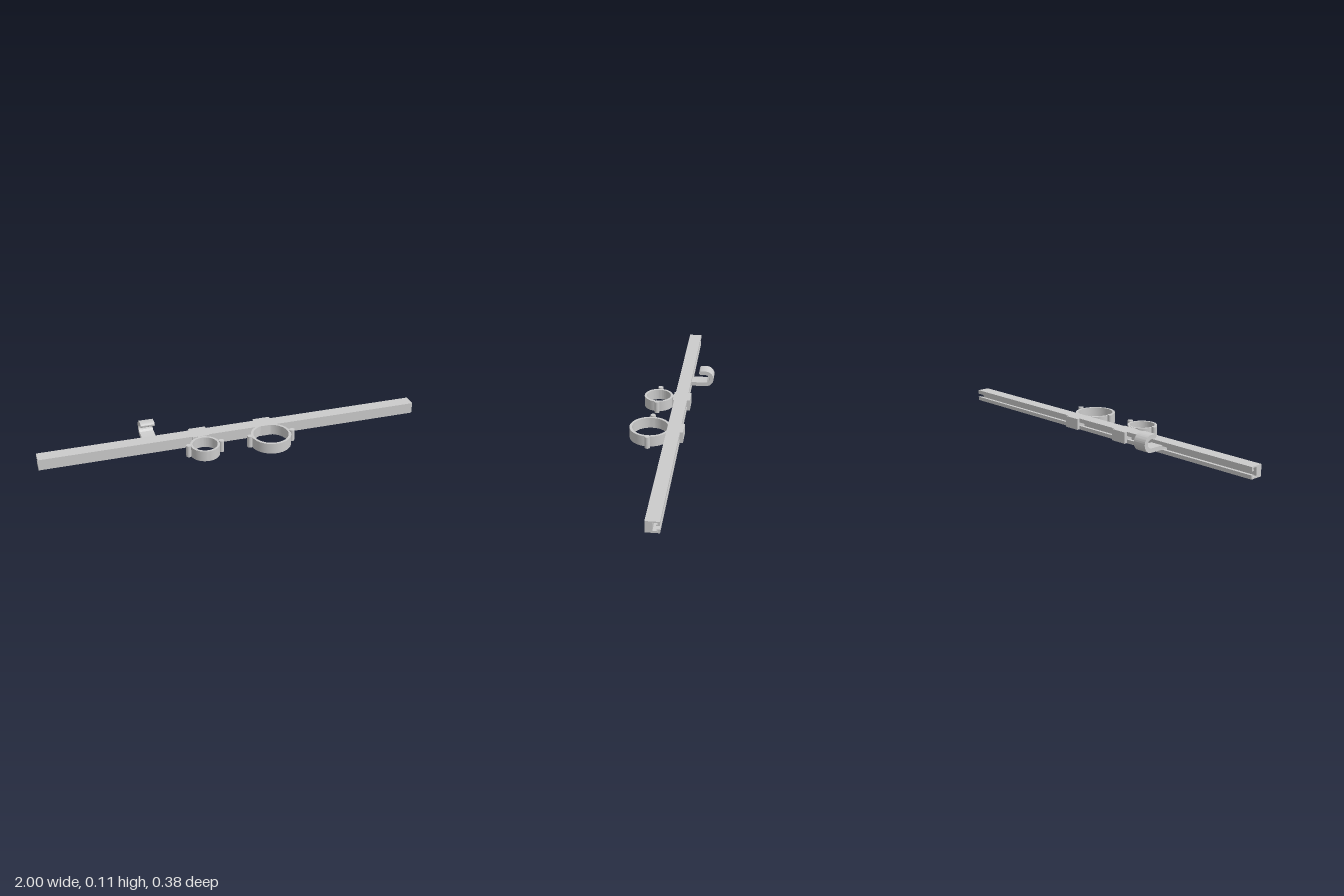
import * as THREE from 'three';
import { toCreasedNormals } from 'three/addons/utils/BufferGeometryUtils.js';

const material = new THREE.MeshStandardMaterial({ color: 0xcccccc });

function add(parent, name, geometry, x = 0, y = 0, z = 0) {
  const mesh = new THREE.Mesh(geometry, material);
  mesh.name = name;
  mesh.position.set(x, y, z);
  parent.add(mesh);
  return mesh;
}

function extrude(shape, depth) {
  return new THREE.ExtrudeGeometry(shape, { depth, bevelEnabled: false, curveSegments: 32 });
}

// Profile drawn as (distance to the back, height), swept along x
function sweepX(shape, x0, x1) {
  return toCreasedNormals(extrude(shape, x1 - x0).rotateY(Math.PI / 2).translate(x0, 0, 0), 0.5);
}

// Plan outline raised from y0 to y1
function raise(shape, y0, y1) {
  return toCreasedNormals(extrude(shape, y1 - y0).rotateX(-Math.PI / 2).translate(0, y0, 0), 0.5);
}

const polygon = (points) => new THREE.Shape(points.map(([a, b]) => new THREE.Vector2(a, b)));

// T-shaped foot that slides in the rail's slot
function slotFoot(parent, x, width) {
  const foot = polygon([
    [0.034, 0.01], [0.051, 0.01], [0.051, 0.019], [0.068, 0.019],
    [0.068, 0.037], [0.051, 0.037], [0.051, 0.052], [0.034, 0.052],
  ]);
  add(parent, 'slotFoot', sweepX(foot, x - width / 2, x + width / 2));
}

// Ring holder with two side lugs and a clip on the back of the rail
function makeHolder(x, radius, wall) {
  const holder = new THREE.Group();
  holder.name = 'ringHolder';
  const z = 0.086;

  const ring = new THREE.Shape().absarc(0, 0, radius, 0, Math.PI * 2);
  ring.holes.push(new THREE.Path().absarc(0, 0, radius - wall, 0, Math.PI * 2, true));
  add(holder, 'ring', raise(ring, 0.002, 0.058), x, 0, z);

  for (const side of [-1, 1]) {
    const lug = new THREE.CylinderGeometry(0.0135, 0.0135, 0.062, 24);
    add(holder, 'lug', lug, x + side * (radius + 0.01), 0.033, z);
  }

  // Pad between ring and rail
  const gap = z - radius + wall / 2;
  if (gap > 0.01) add(holder, 'pad', new THREE.BoxGeometry(0.09, 0.056, 0.007), x, 0.03, 0.0035);
  if (gap > 0.01) add(holder, 'neck', new THREE.BoxGeometry(0.04, 0.055, 0.012), x, 0.0298, 0.01);

  add(holder, 'backClip', new THREE.BoxGeometry(0.09, 0.058, 0.016), x, 0.029, -0.075);
  slotFoot(holder, x, 0.09);
  return holder;
}

export function createModel() {
  const model = new THREE.Group();
  model.name = 'rail';

  // Rail with a T-slot open to the back
  const profile = polygon([
    [0, 0], [0.067, 0], [0.067, 0.019], [0.051, 0.019], [0.051, 0.014], [0.056, 0.014],
    [0.056, 0.01], [0.034, 0.01], [0.034, 0.052], [0.056, 0.052], [0.056, 0.043],
    [0.051, 0.043], [0.051, 0.037], [0.067, 0.037], [0.067, 0.058], [0, 0.058],
  ]);
  add(model, 'railBody', sweepX(profile, -1, 1));

  // Small and large ring holders
  model.add(makeHolder(-0.178, 0.075, 0.012), makeHolder(0.17, 0.103, 0.013));

  // Hook: straight stem, half-round bend and rounded tip
  const cy = 0.0635, cz = 0.143;
  const hook = new THREE.Shape();
  hook.moveTo(0.06, 0.0195);
  hook.lineTo(cz, 0.0195);
  hook.absarc(cz, cy, 0.044, -Math.PI / 2, Math.PI / 2, false);
  hook.lineTo(0.118, 0.1075);
  hook.absarc(0.118, 0.0968, 0.0107, Math.PI / 2, Math.PI * 1.5, false);
  hook.lineTo(cz, 0.0861);
  hook.absarc(cz, cy, 0.0226, Math.PI / 2, -Math.PI / 2, true);
  hook.lineTo(0.06, 0.0409);
  add(model, 'hook', sweepX(hook, -0.463, -0.39));
  slotFoot(model, -0.4265, 0.073);

  return model;
}
